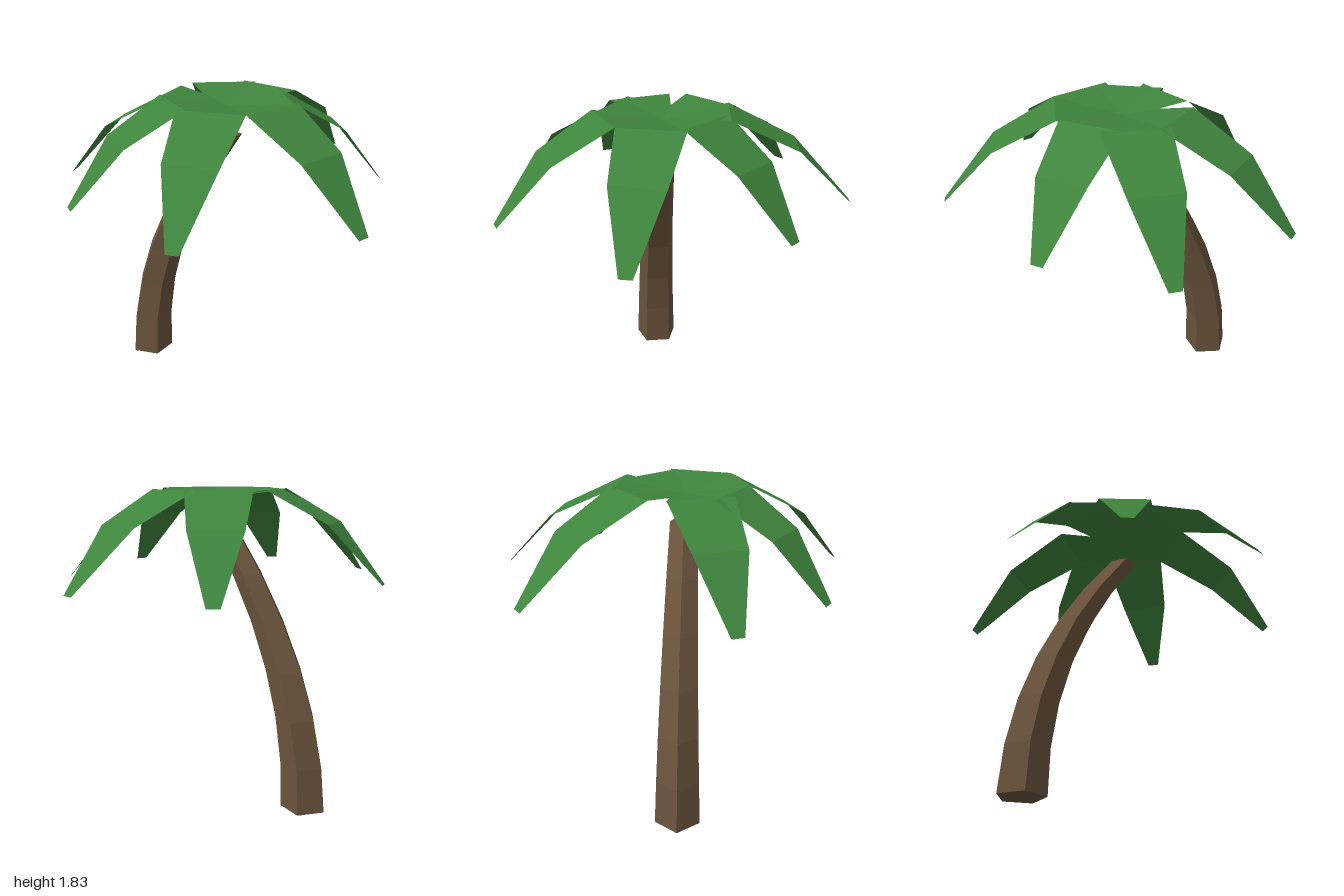
import * as THREE from 'three';

const TRUNK_HEIGHT = 1.62;
const BASE = { x: -0.504, z: -0.323 };
const CROWN = { x: 0, y: 1.78, z: 0.06 };

// Each frond: centre of its highest fold [x, z], then centre of its tip [x, z]
const FRONDS = [
  [0, -0.305, -0.02, -1.0],
  [0.26, -0.21, 0.745, -0.72],
  [0.325, 0.028, 0.91, -0.035],
  [0.225, 0.332, 0.63, 0.842],
  [-0.1, 0.39, -0.298, 0.982],
  [-0.3, 0.17, -0.857, 0.398],
  [-0.315, -0.048, -0.915, -0.252],
];

// Five-sided tapering trunk, leaning along a parabola
function createTrunk(material) {
  const geometry = new THREE.CylinderGeometry(0.085, 0.138, TRUNK_HEIGHT, 5, 6, false, Math.PI / 2);
  geometry.translate(0, TRUNK_HEIGHT / 2, 0);
  const pos = geometry.attributes.position;
  for (let i = 0; i < pos.count; i++) {
    const bend = (pos.getY(i) / TRUNK_HEIGHT) ** 2;
    pos.setX(i, pos.getX(i) + THREE.MathUtils.lerp(BASE.x, CROWN.x, bend));
    pos.setZ(i, pos.getZ(i) + THREE.MathUtils.lerp(BASE.z, CROWN.z, bend));
  }
  geometry.computeVertexNormals();
  const trunk = new THREE.Mesh(geometry, material);
  trunk.name = 'trunk';
  return trunk;
}

// Thin folded frond: root, high fold, drooping fold, narrow tip
function createFrond([bx, bz, tx, tz], material) {
  const length = Math.hypot(tx - bx, tz - bz);
  const side = { x: -(tz - bz) / length, z: (tx - bx) / length };
  const along = (t) => [bx + (tx - bx) * t, bz + (tz - bz) * t];
  const sections = [
    { centre: [CROWN.x, CROWN.z], y: CROWN.y, half: 0.065 },
    { centre: along(0), y: 1.83, half: 0.188 },
    { centre: along(0.54), y: 1.65, half: 0.148 },
    { centre: along(1), y: 1.315, half: 0.035 },
  ];
  const points = [];
  const index = [];
  sections.forEach(({ centre: [x, z], y, half }, i) => {
    for (const s of [-half, half]) points.push(x + side.x * s, y, z + side.z * s);
    const a = i * 2;
    if (i < sections.length - 1) index.push(a, a + 1, a + 2, a + 1, a + 3, a + 2);
  });
  const geometry = new THREE.BufferGeometry();
  geometry.setAttribute('position', new THREE.Float32BufferAttribute(points, 3));
  geometry.setIndex(index);
  geometry.computeVertexNormals();
  return new THREE.Mesh(geometry, material);
}

export function createModel() {
  const bark = new THREE.MeshStandardMaterial({ color: 0x6b543d, flatShading: true });
  const leaf = new THREE.MeshStandardMaterial({ color: 0x3f853d, flatShading: true, side: THREE.DoubleSide });

  const palm = new THREE.Group();
  palm.name = 'palmTree';
  palm.add(createTrunk(bark));

  const crown = new THREE.Group();
  crown.name = 'crown';
  FRONDS.forEach((frond, i) => {
    const mesh = createFrond(frond, leaf);
    mesh.name = `frond${i + 1}`;
    crown.add(mesh);
  });
  palm.add(crown);
  return palm;
}
